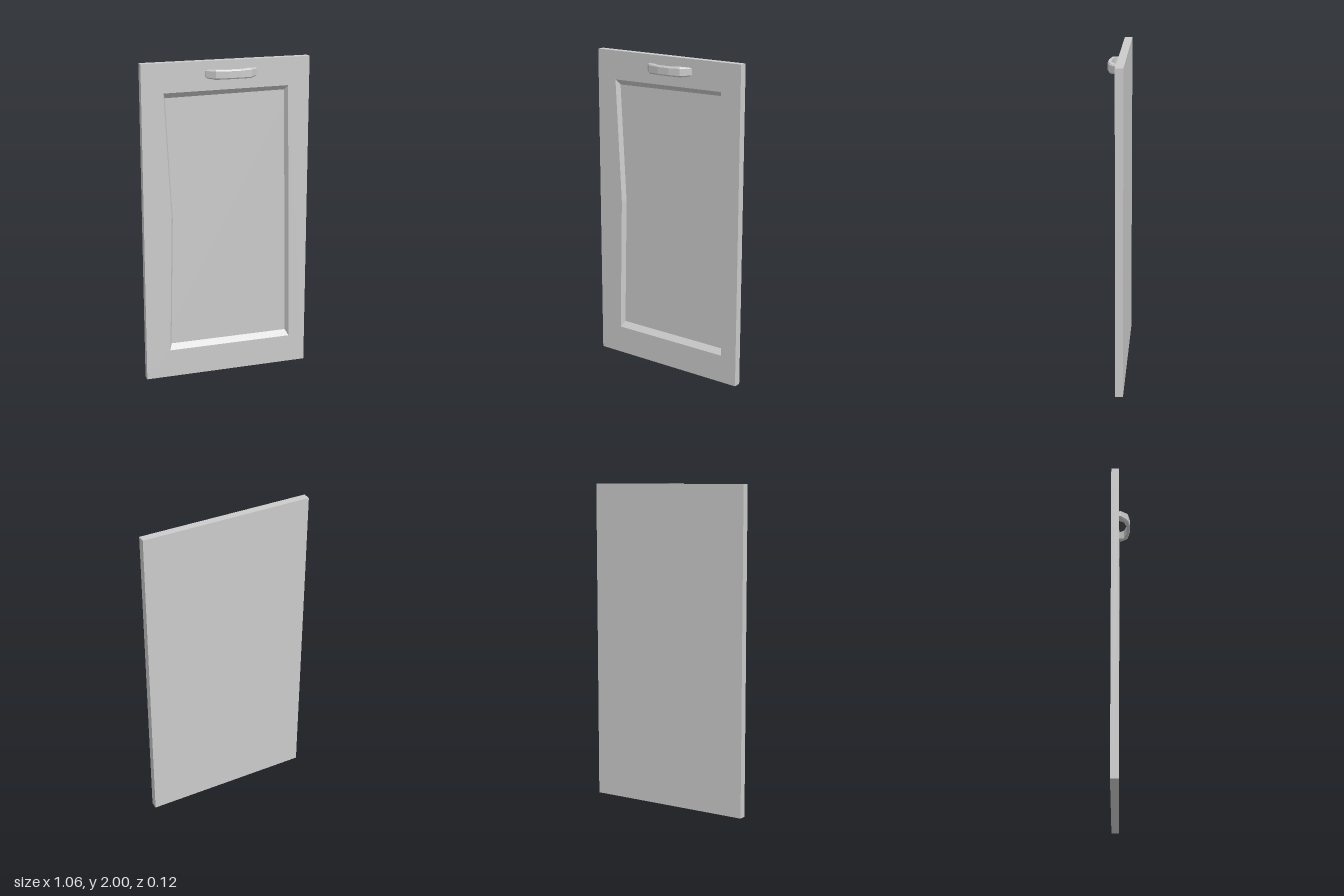
import * as THREE from 'three';

const material = new THREE.MeshStandardMaterial({ color: 0xcccccc, flatShading: true });
const W = 0.53, H = 2, BACK = -0.062, FRONT = -0.014, RECESS = 0.03;

// Recess outline at the front face and at its floor (slightly irregular)
const rim = [[-0.395, 1.82], [0.393, 1.827], [0.422, 0.178], [-0.376, 0.178], [-0.355, 1.04]];
const floor = [[-0.379, 1.786], [0.378, 1.797], [0.406, 0.212], [-0.36, 0.212], [-0.34, 1.035]];

function part(name, geometry) {
  const mesh = new THREE.Mesh(geometry, material);
  mesh.name = name;
  return mesh;
}

// Front frame: a slab with a hole whose walls slope inwards to the floor
function frameGeometry() {
  const shape = new THREE.Shape([[-W, 0], [W, 0], [W, H], [-W, H]].map(p => new THREE.Vector2(...p)));
  shape.holes.push(new THREE.Path(rim.map(p => new THREE.Vector2(...p))));
  const geo = new THREE.ExtrudeGeometry(shape, { depth: RECESS, bevelEnabled: false });
  const pos = geo.attributes.position;
  for (let i = 0; i < pos.count; i++) {
    if (pos.getZ(i) > 0.001) continue;
    const k = rim.findIndex(p => Math.hypot(p[0] - pos.getX(i), p[1] - pos.getY(i)) < 1e-4);
    if (k >= 0) pos.setXY(i, ...floor[k]);
  }
  geo.translate(0, 0, FRONT - RECESS);
  geo.computeVertexNormals();
  return geo;
}

// Bow handle: chamfered cross-sections lofted along an arch
function handleGeometry() {
  // [inner x, inner z, outer x, outer z, half height]
  const stations = [
    [-0.085, -0.014, -0.136, -0.014, 0.024],
    [-0.083, -0.005, -0.136, -0.003, 0.026],
    [-0.074, 0.017, -0.088, 0.043, 0.03],
    [-0.017, 0.034, -0.015, 0.057, 0.028],
    [0.068, 0.034, 0.066, 0.057, 0.028],
    [0.125, 0.017, 0.139, 0.043, 0.03],
    [0.134, -0.005, 0.187, -0.004, 0.026],
    [0.136, -0.014, 0.187, -0.014, 0.024],
  ];
  const section = [[0, 1], [0.78, 1], [1, 0.72], [1, -0.72], [0.78, -1], [0, -1]];
  const n = section.length, verts = [], index = [];
  stations.forEach(([ix, iz, ox, oz, h], s) => {
    section.forEach(([t, v], k) => {
      verts.push(ix + (ox - ix) * t, 1.923 + v * h, iz + (oz - iz) * t);
      if (s === stations.length - 1) return;
      const a = s * n + k, b = s * n + (k + 1) % n;
      index.push(a, b, a + n, b, b + n, a + n);
    });
  });
  const geo = new THREE.BufferGeometry();
  geo.setAttribute('position', new THREE.Float32BufferAttribute(verts, 3));
  geo.setIndex(index);
  const flat = geo.toNonIndexed();
  flat.computeVertexNormals();
  return flat;
}

export function createModel() {
  const group = new THREE.Group();
  group.name = 'cabinetDoor';

  // Backing panel, whose front is the recess floor
  const depth = FRONT - RECESS - BACK;
  const panel = part('backPanel', new THREE.BoxGeometry(2 * W, H, depth));
  panel.position.set(0, H / 2, BACK + depth / 2);

  group.add(panel, part('frame', frameGeometry()), part('handle', handleGeometry()));
  return group;
}
